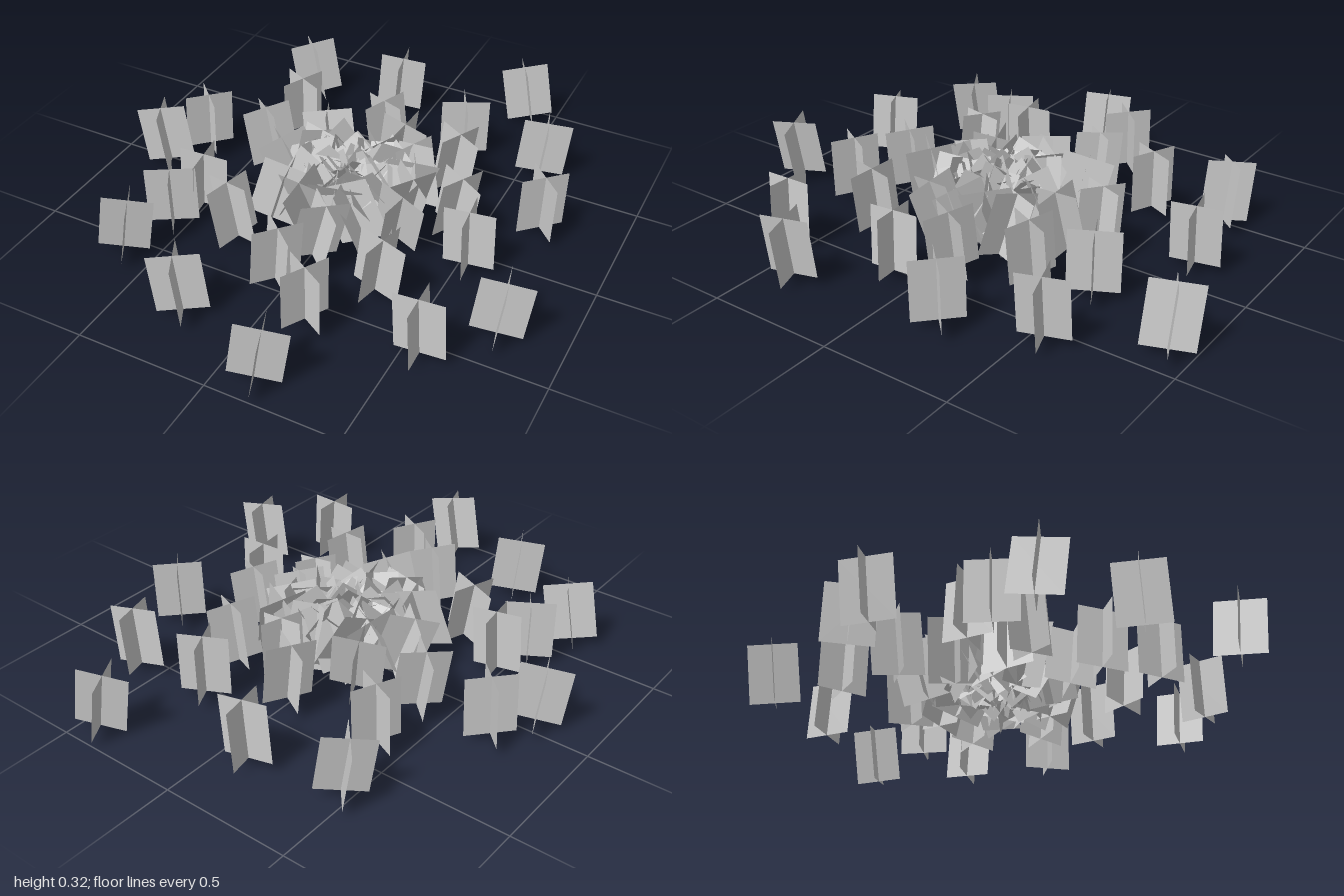
import * as THREE from 'three';
import { mergeGeometries } from 'three/addons/utils/BufferGeometryUtils.js';

export function createModel() {
  const model = new THREE.Group();
  model.name = 'scatteredFoliage';
  const material = new THREE.MeshStandardMaterial({ color: 0xcccccc, side: THREE.DoubleSide });

  // one tuft: two upright cards crossing at a right angle
  const W = 0.187, H = 0.232;
  const card = new THREE.PlaneGeometry(W, H);
  const tuft = mergeGeometries([card, card.clone().rotateY(Math.PI / 2)]);

  const rad = THREE.MathUtils.degToRad;
  function addTuft(name, x, z, yaw, lean, leanFront = 0) {
    const mesh = new THREE.Mesh(tuft, material);
    mesh.name = name;
    // tufts sit a little higher and grow a little larger towards the middle
    const inward = 1 - Math.min(1, Math.hypot(x, z));
    mesh.position.set(x, 0.153 + 0.019 * inward, z);
    mesh.scale.setScalar(1 + 0.08 * inward ** 2);
    // turn about the upright first, then lean sideways and forwards
    mesh.rotation.set(rad(leanFront), rad(-yaw), rad(-lean), 'XZY');
    model.add(mesh);
  }

  // outer tufts: x, z, yaw and sideways lean in degrees
  const outer = [
    [0.385, -0.92, -28, -11], [-0.115, -0.74, -11, 4], [-0.49, -0.68, -42, -10],
    [0.255, -0.55, -27, 0], [0.585, -0.565, -17, 5], [-0.405, -0.405, 25, 1],
    [-0.02, -0.405, 26, -7], [0.31, -0.33, 24, 7], [0.70, -0.23, 45, 1],
    [-0.685, -0.13, 44, 2], [-0.41, -0.15, 40, -9], [0.425, -0.075, 26, 8],
    [0.54, 0.09, -6, -2], [-0.785, 0.035, -25, -8], [-0.485, 0.225, -8, 4],
    [-0.54, 0.36, -31, 0], [-0.29, 0.335, 16, -9], [-0.595, 0.575, -29, 11],
    [-0.025, 0.475, 39, 5], [0.32, 0.365, 12, 7], [0.775, 0.365, -14, 7],
    [0.565, 0.57, -2, -3], [0.16, 0.605, 30, 1], [-0.25, 0.755, -28, -6],
    [0.16, 0.915, -20, 10],
  ];
  outer.forEach(([x, z, yaw, lean], i) => addTuft('outerTuft' + (i + 1), x, z, yaw, lean));

  // ring around the dense heart: the last value is the forward lean
  const ring = [
    [0.09, -0.31, 8, 9, 8], [-0.18, -0.22, -24, -12, -10], [0.05, 0.30, 40, 13, -3],
    [-0.24, -0.02, 40, -16, 10], [0.27, 0.10, 15, 12, 12], [0.22, -0.17, 20, -14, -10],
    [-0.18, 0.17, -15, 14, -10], [0.25, -0.01, 35, 16, 10],
  ];
  ring.forEach(([x, z, ...angles], i) => addTuft('ringTuft' + (i + 1), x, z, ...angles));

  // dense heart: a spiral whose tufts lean further, every way, towards the middle
  const N = 28;
  for (let i = 0; i < N; i++) {
    const t = (i + 0.5) / N, r = 0.21 * t, a = i * 2.4;
    const lean = 20 + 35 * (1 - t), way = i * 1.7;
    addTuft('heartTuft' + (i + 1), r * Math.cos(a) + 0.02, r * Math.sin(a) - 0.01, i * 37,
      lean * Math.cos(way), lean * Math.sin(way));
  }
  return model;
}
